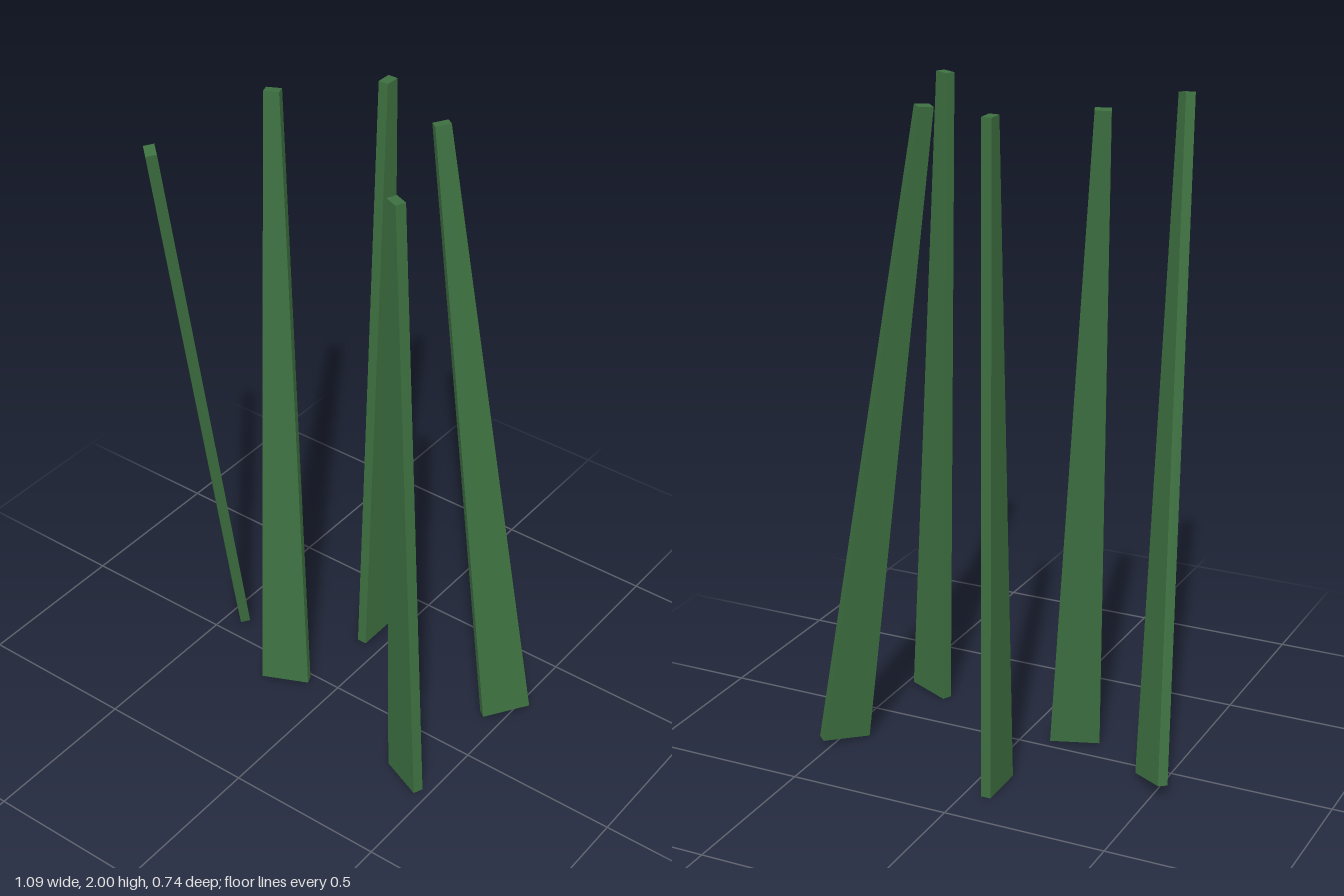
import * as THREE from 'three';

const LENGTH = 1.997, BASE_WIDTH = 0.151, TOP_WIDTH = 0.046, THICKNESS = 0.031;

// Flat blade, upright, tapering in width from base to tip
function bladeGeometry() {
  const geometry = new THREE.BoxGeometry(1, LENGTH, THICKNESS);
  const p = geometry.attributes.position;
  for (let i = 0; i < p.count; i++) {
    p.setX(i, p.getX(i) * (p.getY(i) > 0 ? TOP_WIDTH : BASE_WIDTH));
  }
  geometry.computeVertexNormals();
  return geometry;
}

// Each blade: base centre [x, z], tip centre [x, z], direction of its width [x, z]
const blades = [
  { name: 'backBlade', base: [-0.068, -0.295], tip: [-0.068, -0.32], width: [0, 1] },
  { name: 'leftBackBlade', base: [0.483, -0.229], tip: [0.181, -0.223], width: [0.64, -0.77] },
  { name: 'leftFrontBlade', base: [0.401, 0.191], tip: [0.33, 0.193], width: [0.916, 0.4] },
  { name: 'middleBlade', base: [-0.158, 0.063], tip: [-0.292, -0.09], width: [0.923, -0.385] },
  { name: 'rightBlade', base: [-0.48, -0.108], tip: [-0.365, 0.339], width: [0.736, 0.677] },
];

export function createModel() {
  const group = new THREE.Group();
  group.name = 'grassTuft';
  const green = new THREE.MeshStandardMaterial({ color: 0x3d7040 });
  green.name = 'grassGreen';
  const geometry = bladeGeometry();

  for (const { name, base, tip, width } of blades) {
    const dx = tip[0] - base[0], dz = tip[1] - base[1];
    const up = new THREE.Vector3(dx, Math.sqrt(LENGTH ** 2 - dx * dx - dz * dz), dz).normalize();
    // Square the width direction to the leaning axis
    const side = new THREE.Vector3(width[0], 0, width[1]);
    side.addScaledVector(up, -side.dot(up)).normalize();
    const face = new THREE.Vector3().crossVectors(side, up);

    const blade = new THREE.Mesh(geometry, green);
    blade.name = name;
    blade.quaternion.setFromRotationMatrix(new THREE.Matrix4().makeBasis(side, up, face));
    blade.position.set((base[0] + tip[0]) / 2, 1, (base[1] + tip[1]) / 2);
    group.add(blade);
  }
  return group;
}
